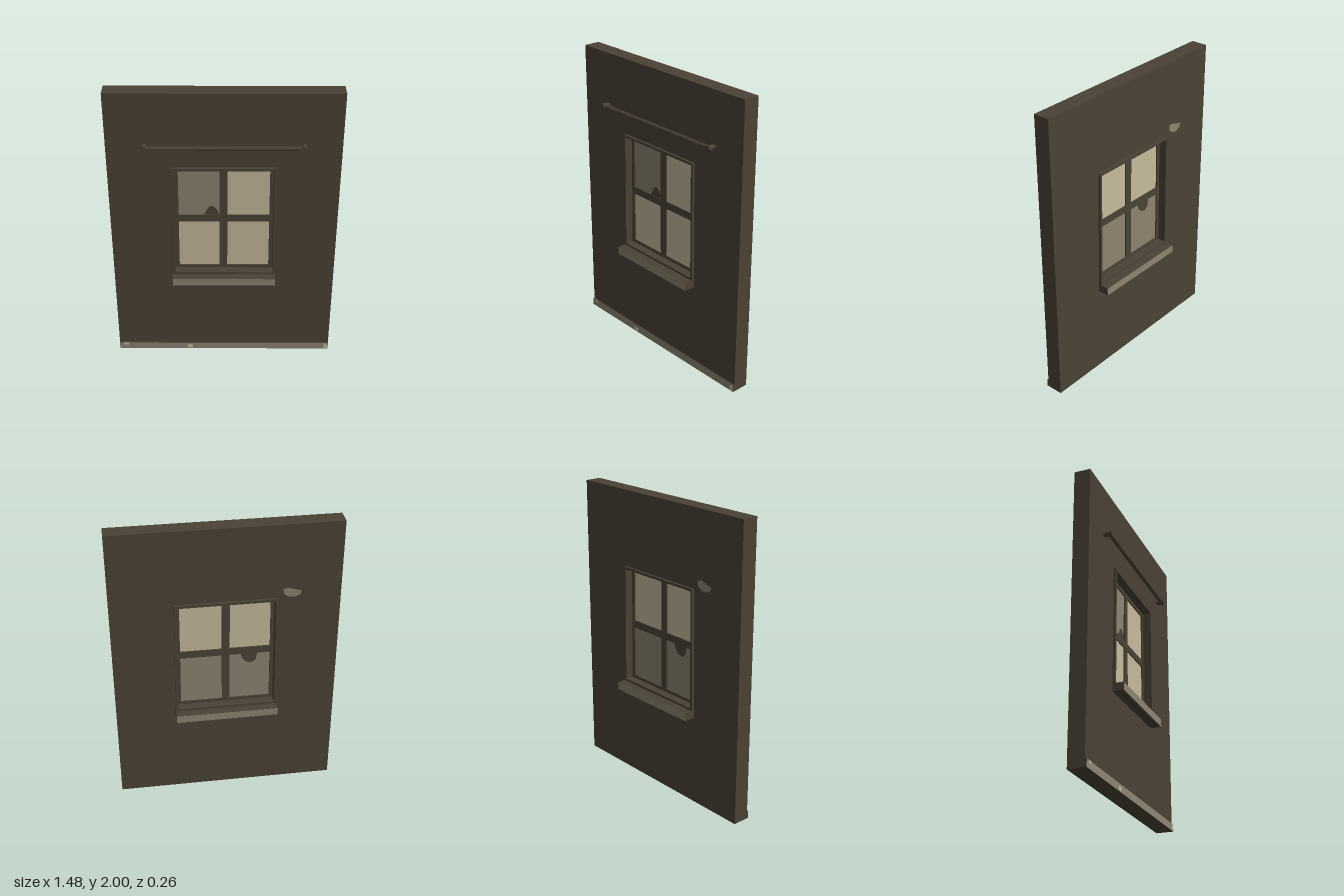
import * as THREE from 'three';

const mat = (name, color) => new THREE.MeshStandardMaterial({ name, color });

export function createModel() {
  const root = new THREE.Group();
  root.name = 'windowWall';
  const dark = mat('darkPlaster', 0x4b4235);
  const mid = mat('dustyBeige', 0x8e8471);
  const pale = mat('paleGlass', 0xc6bb9d);

  const add = (name, geometry, material, x = 0, y = 0, z = 0) => {
    const mesh = new THREE.Mesh(geometry, material);
    mesh.name = name;
    mesh.position.set(x, y, z);
    root.add(mesh);
    return mesh;
  };
  // Box given by its limits
  const slab = (name, x0, x1, y0, y1, z0, z1, material) =>
    add(name, new THREE.BoxGeometry(x1 - x0, y1 - y0, z1 - z0), material,
      (x0 + x1) / 2, (y0 + y1) / 2, (z0 + z1) / 2);
  const outline = (pts, Type = THREE.Shape) => new Type(pts.map(p => new THREE.Vector2(...p)));
  // Plate with one opening, centred on z = 0
  const frame = (name, outer, inner, depth) => {
    const shape = outline(outer);
    shape.holes.push(outline(inner, THREE.Path));
    const geo = new THREE.ExtrudeGeometry(shape, { depth, bevelEnabled: false });
    return add(name, geo.translate(0, 0, -depth / 2), dark);
  };
  const trapezoid = (bottomHalf, topHalf, y0, y1) =>
    [[-bottomHalf, y0], [bottomHalf, y0], [topHalf, y1], [-topHalf, y1]];

  // Wall, window casing and recessed sash
  frame('wall', trapezoid(0.74, 0.74, 0, 2), trapezoid(0.33, 0.325, 0.66, 1.478), 0.11);
  frame('casing', trapezoid(0.343, 0.332, 0.65, 1.487), trapezoid(0.325, 0.318, 0.68, 1.47), 0.144);
  frame('sash', trapezoid(0.33, 0.325, 0.67, 1.478), trapezoid(0.3, 0.295, 0.7, 1.443), 0.03);

  // Glazing bars
  slab('verticalBar', -0.03, 0.022, 0.69, 1.45, -0.014, 0.014, dark);
  slab('horizontalBar', -0.31, 0.31, 1.052, 1.102, -0.0135, 0.0135, dark);

  // Four panes, each with its own front and back colour
  const panes = [
    ['upperRightPane', -0.305, -0.02, 1.09, 1.45, mid, pale],
    ['upperLeftPane', 0.012, 0.305, 1.09, 1.45, pale, pale],
    ['lowerRightPane', -0.305, -0.02, 0.69, 1.06, pale, mid],
    ['lowerLeftPane', 0.012, 0.305, 0.69, 1.06, pale, mid],
  ];
  for (const [name, x0, x1, y0, y1, front, back] of panes)
    slab(name, x0, x1, y0, y1, -0.006, 0.006, [pale, pale, pale, pale, front, back]);

  // Sill through the wall and skirting board, dusty on their faces
  slab('sill', -0.343, 0.343, 0.612, 0.665, -0.13, 0.13, [dark, dark, dark, dark, mid, mid]);
  slab('skirting', -0.74, 0.74, 0, 0.05, 0.054, 0.066, [dark, dark, dark, dark, mid, mid]);

  // Curtain rod on two flared brackets
  add('curtainRod', new THREE.CylinderGeometry(0.014, 0.014, 1, 8).rotateZ(Math.PI / 2), dark, 0, 1.645, 0.092);
  for (const x of [-0.5, 0.5])
    add('rodBracket', new THREE.CylinderGeometry(0.022, 0.014, 0.06, 12).rotateX(Math.PI / 2), dark, x, 1.645, 0.083);

  // Thin painted marks
  const mark = (name, pts, z, material) =>
    add(name, new THREE.ExtrudeGeometry(outline(pts), { depth: 0.002, bevelEnabled: false }), material, 0, 0, z);
  mark('frontPaneMark', [[-0.135, 1.1], [-0.03, 1.1], [-0.045, 1.14], [-0.07, 1.168], [-0.085, 1.17],
    [-0.105, 1.155], [-0.118, 1.125]], 0.0065, dark);
  mark('backPaneMark', [[-0.105, 1.055], [-0.11, 1.02], [-0.14, 0.985], [-0.175, 0.975], [-0.205, 0.995],
    [-0.215, 1.055]], -0.0085, dark);
  mark('backWallPatch', [[-0.365, 1.55], [-0.37, 1.515], [-0.4, 1.492], [-0.44, 1.488], [-0.475, 1.505],
    [-0.485, 1.53], [-0.45, 1.538], [-0.4, 1.555]], -0.0565, mid);

  // Chips on the skirting
  for (const [x, y, w, h] of [[-0.695, 0.042, 0.035, 0.016], [-0.24, 0.02, 0.035, 0.024], [0.722, 0.024, 0.025, 0.038]])
    slab('skirtingChip', x - w / 2, x + w / 2, y - h / 2, y + h / 2, 0.064, 0.067, pale);

  return root;
}
